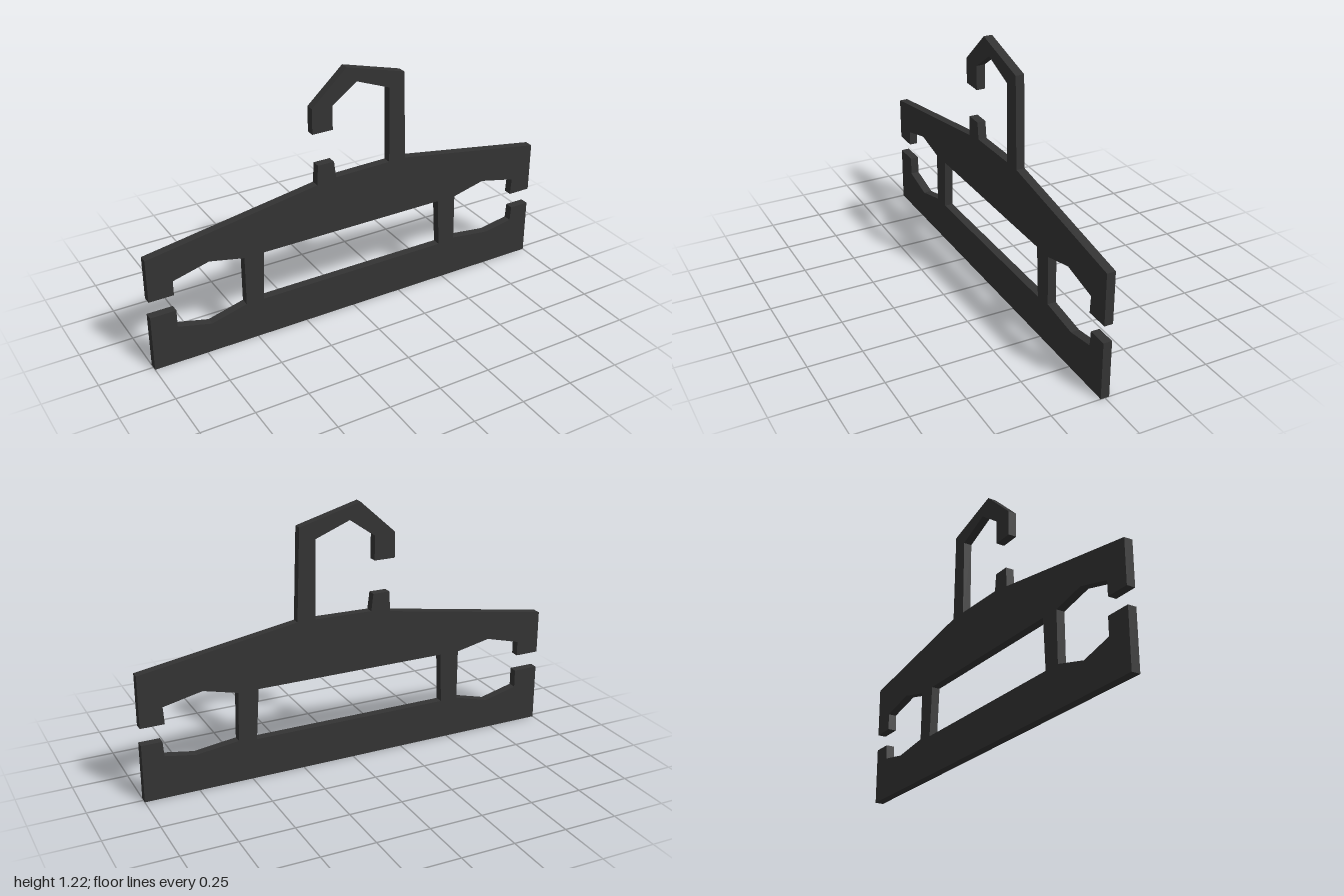
import * as THREE from 'three';

const THICKNESS = 0.04;
const toPoints = (pairs) => pairs.map(([x, y]) => new THREE.Vector2(x, y));

export function createModel() {
  const group = new THREE.Group();
  group.name = 'coatHanger';

  // Outline sections, counter-clockwise from the bottom left corner
  const base = [[-1, 0], [1, 0], [1, 0.27]];
  const leftNotch = [
    [0.905, 0.27], [0.9, 0.2], [0.755, 0.175], [0.56, 0.2],
    [0.555, 0.43], [0.715, 0.47], [0.895, 0.43], [0.89, 0.35],
  ];
  const leftShoulder = [[1, 0.35], [1, 0.59], [0.27, 0.71]];
  const hook = [
    [0.255, 1.135], [-0.035, 1.215], [-0.205, 1.06], [-0.205, 0.94],
    [-0.105, 0.94], [-0.105, 1.055], [0.015, 1.14], [0.18, 1.075], [0.185, 0.71],
  ];
  const stub = [[-0.09, 0.705], [-0.1, 0.785], [-0.18, 0.785], [-0.185, 0.69]];
  const rightShoulder = [[-1, 0.555], [-1, 0.35]];
  const rightNotch = [
    [-0.885, 0.35], [-0.885, 0.42], [-0.715, 0.465], [-0.55, 0.43],
    [-0.55, 0.19], [-0.72, 0.145], [-0.88, 0.185], [-0.88, 0.27], [-1, 0.27],
  ];
  const outline = new THREE.Shape(toPoints([
    ...base, ...leftNotch, ...leftShoulder, ...hook,
    ...stub, ...rightShoulder, ...rightNotch,
  ]));

  // Long central opening above the trouser bar
  outline.holes.push(new THREE.Path(toPoints([
    [-0.455, 0.43], [0.46, 0.43], [0.475, 0.19], [-0.465, 0.19],
  ])));

  // The hanger is a single flat plate with sharp edges
  const geometry = new THREE.ExtrudeGeometry(outline, { depth: THICKNESS, bevelEnabled: false });
  geometry.translate(0, 0, -THICKNESS / 2);
  const material = new THREE.MeshStandardMaterial({ color: 0x333333, flatShading: true });
  const plate = new THREE.Mesh(geometry, material);
  plate.name = 'hangerPlate';
  group.add(plate);

  return group;
}
